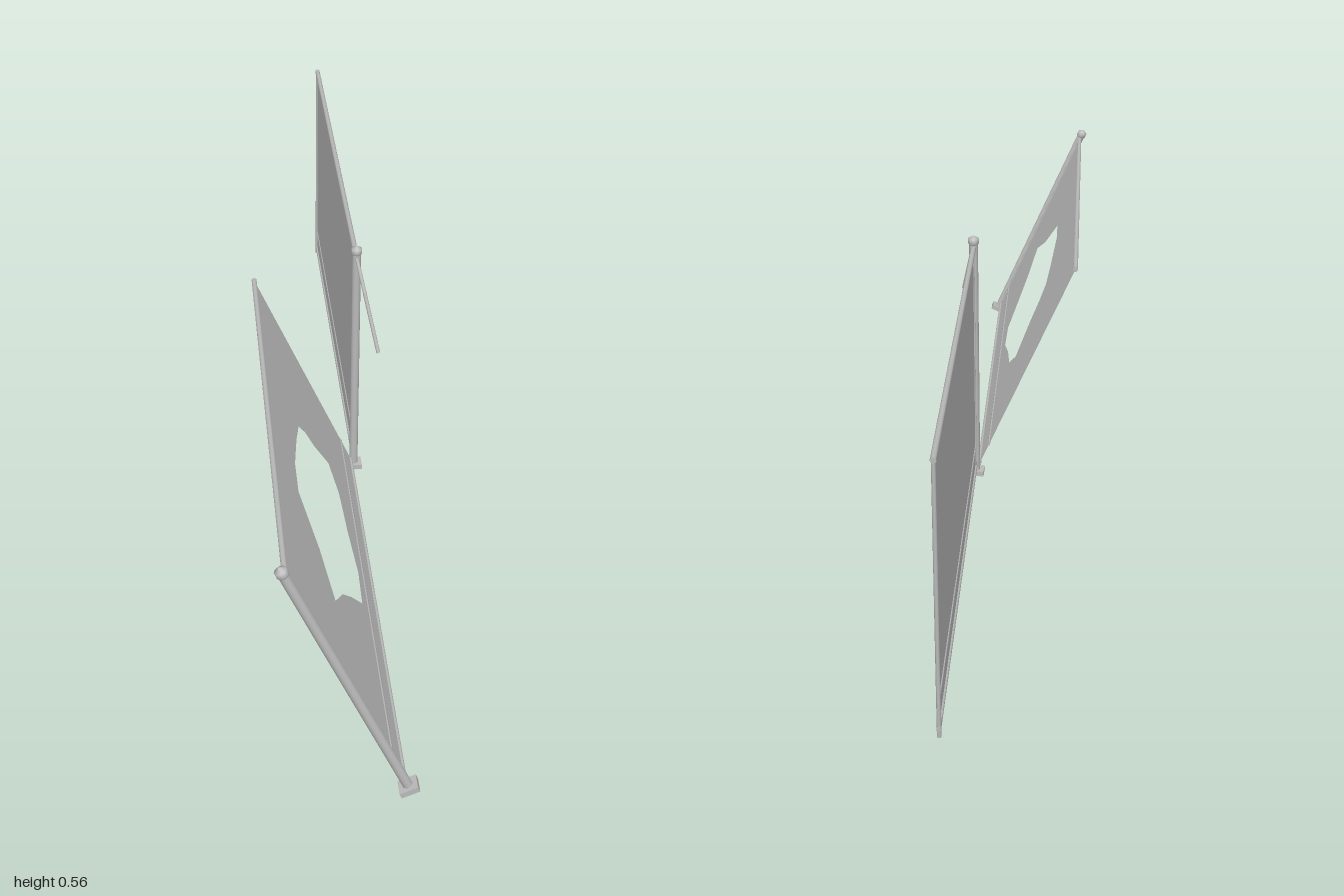
import * as THREE from 'three';

export function createModel() {
  const model = new THREE.Group();
  model.name = 'brokenFence';

  const metal = new THREE.MeshStandardMaterial({ color: 0xbababa });
  metal.name = 'galvanised metal';
  const mesh = new THREE.MeshStandardMaterial({ color: 0xc4c4c4, side: THREE.DoubleSide });
  mesh.name = 'fence mesh';

  const add = (parent, name, geometry, material = metal) => {
    const m = new THREE.Mesh(geometry, material);
    m.name = name;
    parent.add(m);
    return m;
  };

  // Round bar between two points
  const bar = (parent, name, a, b, radius, sides = 8) => {
    const from = new THREE.Vector3(...a), to = new THREE.Vector3(...b);
    const dir = to.clone().sub(from);
    const m = add(parent, name, new THREE.CylinderGeometry(radius, radius, dir.length(), sides));
    m.position.copy(from).addScaledVector(dir, 0.5);
    m.quaternion.setFromUnitVectors(new THREE.Vector3(0, 1, 0), dir.normalize());
    return m;
  };

  // Post with a foot plate and a pointed cap
  const post = (parent, z) => {
    const g = new THREE.Group();
    g.name = 'post';
    g.position.z = z;
    parent.add(g);
    bar(g, 'postTube', [0, 0, 0], [0, 0.53, 0], 0.0092, 12);
    add(g, 'footPlate', new THREE.BoxGeometry(0.035, 0.011, 0.032));
    const profile = [[0, 0.523], [0.008, 0.523], [0.0112, 0.528], [0.0112, 0.538], [0, 0.545]];
    add(g, 'postCap', new THREE.LatheGeometry(profile.map(p => new THREE.Vector2(...p)), 12));
  };

  // Sheet of mesh in the plane of the fence, with an optional torn hole
  const low = 0.018, high = 0.518;
  const sheet = (parent, z0, z1, hole) => {
    const s = new THREE.Shape();
    s.moveTo(z0, low).lineTo(z1, low).lineTo(z1, high).lineTo(z0, high).closePath();
    if (hole) s.holes.push(new THREE.Path(hole.map(p => new THREE.Vector2(...p))));
    add(parent, 'meshSheet', new THREE.ShapeGeometry(s).rotateY(-Math.PI / 2), mesh);
  };

  const rails = (parent, z0, z1) => {
    bar(parent, 'topRail', [0, high, z0], [0, high, z1], 0.0055);
    bar(parent, 'bottomRail', [0, low, z0], [0, low, z1], 0.004);
    bar(parent, 'tensionWire', [0, 0.07, z0], [0, 0.07, z1], 0.0025, 6);
  };

  const section = (name) => {
    const g = new THREE.Group();
    g.name = name;
    g.position.set(0.096, 0.0135, 0);
    model.add(g);
    return g;
  };

  // Standing section
  const upright = section('uprightSection');
  post(upright, 0);
  sheet(upright, -0.99, 0);
  rails(upright, -0.997, 0);
  bar(upright, 'endBar', [0, 0, -0.992], [0, high, -0.992], 0.004);
  bar(upright, 'tensionBar', [0, low, -0.014], [0, high, -0.014], 0.003, 6);

  // Leaning section with a torn hole
  const leaning = section('leaningSection');
  leaning.rotation.z = THREE.MathUtils.degToRad(24.2);
  post(leaning, 0.984);
  const torn = [[0.77, 0.26], [0.68, 0.307], [0.6, 0.378], [0.51, 0.378], [0.4, 0.355],
    [0.32, 0.333], [0.295, 0.3], [0.28, 0.254], [0.24, 0.185], [0.295, 0.147],
    [0.4, 0.13], [0.5, 0.104], [0.6, 0.11], [0.65, 0.168], [0.7, 0.217]];
  sheet(leaning, 0, 0.984, torn.map(([z, y]) => [z, (y - 0.0135) / 0.912]));
  rails(leaning, 0, 0.984);
  bar(leaning, 'tensionBar', [0, low, 0.968], [0, high, 0.968], 0.003, 6);

  // Snapped rail hanging from the standing post
  const bend = [[0.096, 0.532, 0], [0.103, 0.502, 0.096], [0.128, 0.387, 0.145]];
  const snapped = new THREE.Group();
  snapped.name = 'snappedRail';
  model.add(snapped);
  bar(snapped, 'railStub', bend[0], bend[1], 0.004);
  bar(snapped, 'railEnd', bend[1], bend[2], 0.004);
  add(snapped, 'railKink', new THREE.SphereGeometry(0.004, 8, 6)).position.set(...bend[1]);

  return model;
}
